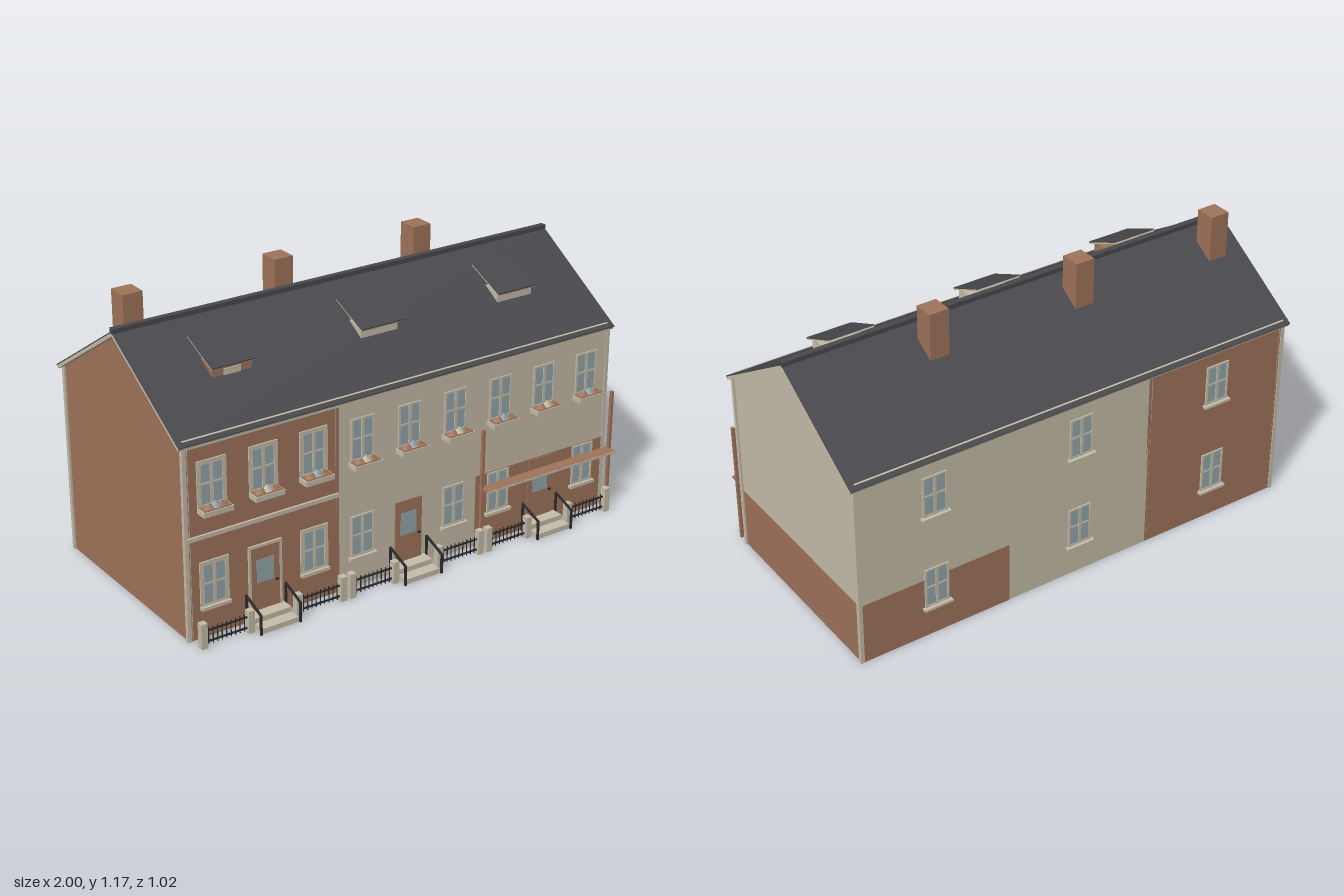
import * as THREE from 'three';

const mat = (name, color) => {
  const m = new THREE.MeshStandardMaterial({ color });
  m.name = name;
  return m;
};

export function createModel() {
  const root = new THREE.Group();
  root.name = 'terracedHouses';
  const cream = mat('cream stone', 0xc6bda9);
  const brick = mat('brick', 0xa0745b);
  const slate = mat('slate', 0x49494e);
  const glass = mat('glass', 0x93a7ad);
  const iron = mat('black iron', 0x2b2b2e);

  const FRONT = 0.4, BACK = -0.485, RIDGE = -0.045, W = 0.651, HALF = 0.977, T = 0.013;

  // Box given by its limits on each axis
  const block = (parent, name, m, x0, x1, y0, y1, z0, z1) => {
    const mesh = new THREE.Mesh(new THREE.BoxGeometry(x1 - x0, y1 - y0, z1 - z0), m);
    mesh.position.set((x0 + x1) / 2, (y0 + y1) / 2, (z0 + z1) / 2);
    mesh.name = name;
    parent.add(mesh);
    return mesh;
  };
  const group = (parent, name, x = 0, y = 0, z = 0) => {
    const g = new THREE.Group();
    g.name = name;
    g.position.set(x, y, z);
    parent.add(g);
    return g;
  };

  // Pointed end or party wall, its right face at x
  const gable = (name, m, x, depth) => {
    const s = new THREE.Shape();
    [[BACK, 0], [FRONT, 0], [FRONT, 0.78], [RIDGE, 1.058], [BACK, 0.78]]
      .forEach(([z, y], i) => (i ? s.lineTo(z, y) : s.moveTo(z, y)));
    const g = new THREE.ExtrudeGeometry(s, { depth, bevelEnabled: false });
    g.rotateY(-Math.PI / 2);
    const mesh = new THREE.Mesh(g, m);
    mesh.position.x = x;
    mesh.name = name;
    root.add(mesh);
  };
  gable('leftGable', cream, HALF, T);
  gable('rightGable', brick, -HALF + T, T);
  gable('rightGableLining', cream, -HALF + T + 0.003, 0.003);
  gable('partyWall', cream, W / 2 + T / 2, T);
  gable('partyWall', brick, -W / 2 + T / 2, T);
  gable('partyWallLining', cream, -W / 2 - T / 2, 0.003);

  // Two-column casement window, base at y = 0, facing +z, running back through the wall
  const windowUnit = (parent, x, y, z, back, trim) => {
    const w = group(parent, 'window', x, y, z);
    if (back) w.rotation.y = Math.PI;
    const h = 0.17;
    block(w, 'pane', glass, -0.046, 0.046, 0.005, h - 0.005, -0.02, 0.003);
    for (const s of [-1, 1]) {
      block(w, 'jamb', cream, s * 0.0485 - 0.004, s * 0.0485 + 0.004, 0, h, -0.002, 0.007);
      if (trim) block(w, 'surround', cream, s * 0.056 - 0.005, s * 0.056 + 0.005, 0, h + 0.01, 0, 0.006);
    }
    block(w, 'mullion', cream, -0.006, 0.006, 0, h, 0, 0.007);
    for (const by of [0.003, h * 0.52, h - 0.003])
      block(w, 'glazingBar', cream, -0.05, 0.05, by - 0.0035, by + 0.0035, 0, 0.006);
    if (trim) block(w, 'lintel', cream, -0.061, 0.061, h, h + 0.01, 0, 0.006);
    return w;
  };

  // Sill planter with low pointed plants
  const planter = (w, i) => {
    block(w, 'planterBox', cream, -0.062, 0.062, -0.022, -0.002, 0, 0.05);
    block(w, 'planterSoil', brick, -0.056, 0.056, -0.002, 0.002, 0.006, 0.046);
    [[-0.026, brick], [0.026, brick], [0, i % 2 ? cream : glass]].forEach(([x, m], k) => {
      const p = new THREE.Mesh(new THREE.ConeGeometry(1, 1, 6), m);
      p.scale.set(0.028, k === 2 ? 0.026 : 0.018, 0.017);
      p.position.set(x, k === 2 ? 0.015 : 0.011, 0.028);
      p.name = 'plant';
      w.add(p);
    });
  };

  const house = (i) => {
    const cx = (i - 1) * W;
    const h = group(root, 'house' + (i + 1), cx);
    const wall = i === 0 ? brick : cream;
    const a = -W / 2, b = W / 2;
    block(h, 'frontWall', wall, a, b, 0, 0.785, FRONT - T, FRONT);
    block(h, 'backWall', wall, a, b, 0, 0.785, BACK, BACK + T);
    if (i === 0) {
      block(h, 'frontLining', cream, a + 0.01, b - 0.01, 0, 0.785, FRONT - T - 0.003, FRONT - T);
      block(h, 'backLining', cream, a + 0.01, b - 0.01, 0, 0.785, BACK + T, BACK + T + 0.003);
      block(h, 'stringCourse', cream, a, b, 0.405, 0.421, FRONT, FRONT + 0.009);
    }
    if (i === 2) {
      block(h, 'frontBrickFacing', brick, a, b, 0, 0.305, FRONT, FRONT + 0.002);
      block(h, 'backBrickFacing', brick, a, b, 0, 0.26, BACK - 0.002, BACK);
      block(h, 'sideBrickFacing', brick, b, b + 0.002, 0, 0.26, BACK, FRONT);
    }

    // Front and back windows
    for (const k of [-1, 0, 1]) {
      planter(windowUnit(h, k * 0.2165, 0.532, FRONT + 0.001, false, i === 0), i + k + 1);
      if (!k) continue;
      const w = windowUnit(h, k * 0.2165, 0.132, FRONT + 0.001, false, i === 0);
      block(w, 'sill', cream, -0.062, 0.062, -0.013, 0, -0.001, 0.018);
    }
    for (const y of [0.135, 0.545]) {
      const w = windowUnit(h, 0, y, BACK - 0.001, true, false);
      block(w, 'sill', cream, -0.062, 0.062, -0.01, 0, -0.001, 0.02);
    }

    // Door
    const d = group(h, 'door', 0, 0.04, FRONT);
    block(d, 'doorLeaf', brick, -0.062, 0.062, 0, 0.26, -0.02, 0.006);
    block(d, 'doorPane', glass, -0.038, 0.036, 0.115, 0.21, 0.005, 0.008);
    block(d, 'doorHandle', iron, 0.042, 0.053, 0.106, 0.113, 0.005, 0.014);
    if (i === 0) {
      for (const s of [-1, 1])
        block(d, 'doorJamb', cream, s * 0.067 - 0.005, s * 0.067 + 0.005, -0.04, 0.26, 0, 0.008);
      block(d, 'doorHead', cream, -0.072, 0.072, 0.26, 0.271, 0, 0.008);
    }

    // Steps and handrails
    block(h, 'upperStep', cream, -0.08, 0.08, 0, 0.042, FRONT, 0.455);
    block(h, 'lowerStep', cream, -0.08, 0.08, 0, 0.021, 0.455, 0.503);
    for (const s of [-1, 1]) {
      const x = s * 0.086;
      block(h, 'railPost', iron, x - 0.004, x + 0.004, 0, 0.082, 0.502, 0.51);
      block(h, 'railPost', iron, x - 0.004, x + 0.004, 0, 0.12, 0.404, 0.411);
      const rail = block(h, 'handrail', iron, x - 0.004, x + 0.004, 0.097, 0.104, 0.402, 0.512);
      rail.rotation.x = 0.37;

      // Front fence
      for (const [px, top] of [[0.105, 0.092], [0.305, 0.103]])
        block(h, 'stonePier', cream, s * px - 0.013, s * px + 0.013, 0, top, 0.447, 0.474);
      const f = group(h, 'fence', s * 0.205, 0, 0.46);
      for (const y of [0.02, 0.065])
        block(f, 'fenceRail', iron, -0.088, 0.088, y - 0.003, y + 0.003, -0.003, 0.003);
      for (let k = -4; k <= 4; k++)
        block(f, 'fenceBar', iron, k * 0.019 - 0.0015, k * 0.019 + 0.0015, 0.008, 0.078, -0.0015, 0.0015);
    }

    // Chimney
    block(h, 'chimney', brick, -0.261, -0.178, 0.93, 1.17, -0.197, -0.112);

    // Dormer with a tilted lid
    block(h, 'dormerBody', wall, -0.084, 0.084, 0.87, 0.965, 0.1, 0.205);
    if (i === 0) block(h, 'dormerPanel', cream, -0.036, 0.036, 0.915, 0.94, 0.204, 0.209);
    const lid = group(h, 'dormerLid', 0, 0.993, 0.14);
    lid.rotation.x = Math.atan2(0.075, 0.17);
    block(lid, 'lidBoard', cream, -0.095, 0.095, -0.005, 0.001, -0.093, 0.093);
    block(lid, 'lidSlate', slate, -0.096, 0.096, 0.001, 0.005, -0.093, 0.093);
  };
  [0, 1, 2].forEach(house);

  // Corner strips and eaves bands
  for (const s of [-1, 1]) {
    for (const z of [FRONT - 0.004, BACK + 0.004])
      block(root, 'cornerStrip', cream, s * 0.977 - 0.008, s * 0.977 + 0.008, 0, 0.785, z - 0.008, z + 0.008);
  }
  block(root, 'frontEavesBand', cream, -0.98, 0.98, 0.768, 0.786, FRONT - 0.005, FRONT + 0.006);
  block(root, 'backEavesBand', cream, -0.98, 0.98, 0.768, 0.786, BACK - 0.006, BACK + 0.005);

  // Roof slopes: timber board below, slate above
  const run = 0.457, rise = 0.287, len = Math.hypot(run, rise);
  for (const s of [-1, 1]) {
    const slope = group(root, s > 0 ? 'frontRoof' : 'backRoof', 0, 1.073 - rise / 2, RIDGE + (s * run) / 2);
    slope.rotation.x = s * Math.atan2(rise, run);
    block(slope, 'roofBoard', cream, -0.999, 0.999, -0.017, -0.004, -len / 2, len / 2);
    block(slope, 'roofSlate', slate, -1, 1, -0.004, 0, -len / 2, len / 2);
    const z = s * (len / 2 - 0.022);
    block(slope, 'eavesTrim', cream, -0.977, 0.977, -0.002, 0.003, z - 0.003, z + 0.003);
  }
  block(root, 'ridgeCap', slate, -1, 1, 1.062, 1.084, RIDGE - 0.012, RIDGE + 0.012);

  // Pergola in front of the third house
  const p = group(root, 'pergola');
  for (const x of [0.322, 0.974])
    block(p, 'pergolaPost', brick, x - 0.006, x + 0.006, 0, 0.522, 0.44, 0.453);
  block(p, 'pergolaShelf', brick, 0.32, 0.976, 0.264, 0.273, 0.432, 0.484);
  block(p, 'pergolaEdge', cream, 0.32, 0.976, 0.264, 0.272, 0.484, 0.486);
  return root;
}
